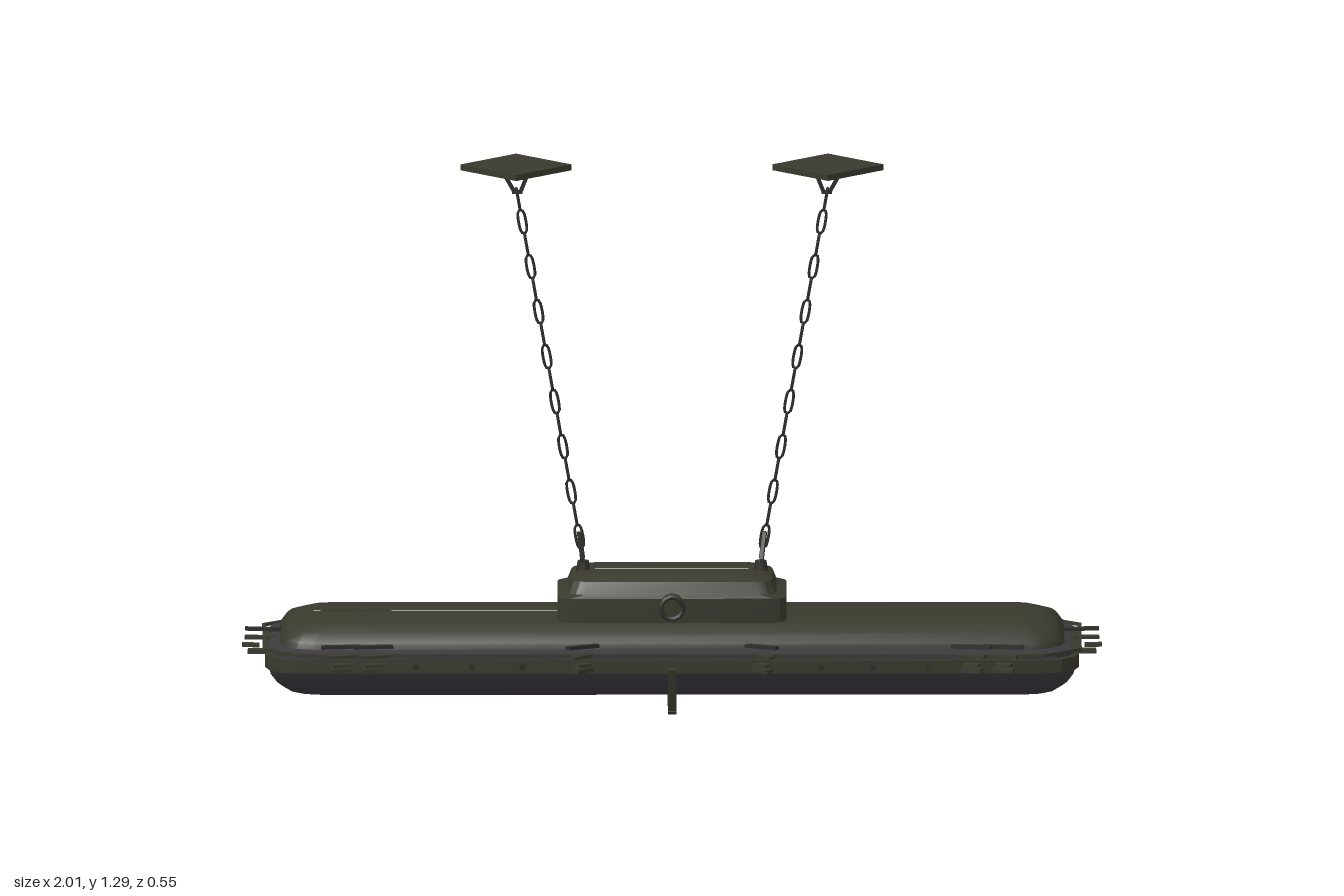
import * as THREE from 'three';
import { toCreasedNormals } from 'three/addons/utils/BufferGeometryUtils.js';

const paint = (name, color) => {
  const m = new THREE.MeshStandardMaterial({ color });
  m.name = name;
  return m;
};

export function createModel() {
  const model = new THREE.Group();
  model.name = 'hangingLamp';
  const olive = paint('olive housing', 0x3a392e);
  const lensGrey = paint('smoky lens', 0x3c393f);
  const steel = paint('dark steel', 0x2e2f2b);

  const add = (parent, name, geo, mat, x = 0, y = 0, z = 0) => {
    const mesh = new THREE.Mesh(geo, mat);
    mesh.name = name;
    mesh.position.set(x, y, z);
    parent.add(mesh);
    return mesh;
  };

  // Skin stacked rounded rectangles, each [half x, half z, corner radius, y], lowest first
  const loft = (rings, crease = 0.5, steps = 3) => {
    const pos = [], index = [], n = 4 * (steps + 1);
    for (const [hx, hz, r0, y] of rings) {
      const r = Math.min(r0, hz);
      for (let q = 0; q < 4; q++) for (let k = 0; k <= steps; k++) {
        const a = (q + k / steps) * Math.PI / 2;
        const sx = q === 0 || q === 3 ? 1 : -1, sz = q < 2 ? 1 : -1;
        pos.push(sx * (hx - r) + r * Math.cos(a), y, sz * (hz - r) + r * Math.sin(a));
      }
    }
    for (let i = 0; i < rings.length - 1; i++) for (let j = 0; j < n; j++) {
      const a = i * n + j, b = i * n + (j + 1) % n;
      index.push(a, a + n, b, b, a + n, b + n);
    }
    const g = new THREE.BufferGeometry();
    g.setAttribute('position', new THREE.Float32BufferAttribute(pos, 3));
    g.setIndex(index);
    return toCreasedNormals(g, crease);
  };

  // Rectangular bar between two points
  const bar = (parent, name, a, b, w, t, mat) => {
    const p = new THREE.Vector3(...a), q = new THREE.Vector3(...b);
    const mesh = add(parent, name, new THREE.BoxGeometry(w, t, p.distanceTo(q) + t * 0.6), mat);
    mesh.position.copy(p).add(q).multiplyScalar(0.5);
    mesh.lookAt(q);
    return mesh;
  };

  // Lens bowl underneath
  add(model, 'lens', loft([
    [0.86, 0.001, 0.001, 0.038], [0.88, 0.08, 0.06, 0.041], [0.9, 0.13, 0.08, 0.048],
    [0.925, 0.175, 0.09, 0.07], [0.94, 0.2, 0.09, 0.095], [0.945, 0.212, 0.09, 0.12],
  ], 0.7), lensGrey);

  // Rim frame, gasket and domed cover
  add(model, 'rim', loft([
    [0.925, 0.19, 0.07, 0.117], [0.953, 0.222, 0.08, 0.117], [0.953, 0.222, 0.08, 0.149],
    [0.925, 0.19, 0.07, 0.149],
  ]), olive);
  add(model, 'gasket', loft([
    [0.94, 0.212, 0.08, 0.145], [0.94, 0.212, 0.08, 0.16], [0.91, 0.18, 0.07, 0.168],
  ]), lensGrey);
  add(model, 'cover', loft([
    [0.92, 0.188, 0.08, 0.158], [0.915, 0.185, 0.08, 0.18], [0.9, 0.165, 0.08, 0.204],
    [0.865, 0.12, 0.07, 0.22], [0.84, 0.001, 0.001, 0.224],
  ], 0.6), olive);

  // Thin wire lip around the cover
  const lip = [[0.87, 0.225], [0.955, 0.15], [0.955, -0.15], [0.87, -0.225],
    [-0.87, -0.225], [-0.955, -0.15], [-0.955, 0.15], [-0.87, 0.225]];
  lip.forEach(([x, z], i) => {
    const [u, v] = lip[(i + 1) % 8];
    bar(model, 'lip', [x, 0.16, z], [u, 0.16, v], 0.008, 0.007, olive);
  });

  // Junction box with cable glands
  add(model, 'junctionBox', loft([
    [0.268, 0.125, 0.03, 0.212], [0.268, 0.125, 0.03, 0.276], [0.245, 0.118, 0.04, 0.284],
    [0.235, 0.105, 0.04, 0.312], [0.215, 0.085, 0.04, 0.322], [0.18, 0.001, 0.001, 0.323],
  ], 0.4), olive);
  for (const s of [1, -1]) {
    const gland = add(model, 'cableGland', toCreasedNormals(new THREE.CylinderGeometry(0.03, 0.03, 0.03, 12), 0.6),
      olive, 0, 0.258, s * 0.13);
    gland.rotation.x = Math.PI / 2;
    add(model, 'glandRing', new THREE.TorusGeometry(0.026, 0.006, 6, 14), steel, 0, 0.258, s * 0.146);
  }

  // Spring clips, along z and pointing outwards
  const clip = (x, z, turn, reach) => {
    const g = new THREE.Group();
    g.name = 'clip';
    g.position.set(x, 0, z);
    g.rotation.y = turn;
    bar(g, 'clipArm', [0, 0.196, -0.045], [0, 0.163, reach], 0.014, 0.008, steel);
    bar(g, 'clipTongue', [0, 0.16, -0.02], [0, 0.16, reach + 0.004], 0.022, 0.007, olive);
    bar(g, 'clipHook', [0, 0.16, reach - 0.008], [0, 0.124, reach - 0.008], 0.02, 0.008, olive);
    bar(g, 'clipFoot', [0, 0.127, -0.01], [0, 0.127, reach - 0.004], 0.022, 0.01, olive);
    model.add(g);
  };
  for (const s of [1, -1]) {
    for (const x of [-0.775, -0.7, -0.21, 0.21, 0.7, 0.775]) clip(x, s * 0.222, s > 0 ? 0 : Math.PI, 0.038);
    clip(s * 0.95, 0, s * Math.PI / 2, 0.044);
    // Small studs along the rim
    for (const x of [-0.6, -0.47, -0.35, 0.35, 0.47, 0.6]) {
      add(model, 'stud', new THREE.BoxGeometry(0.014, 0.014, 0.012), steel, x, 0.133, s * 0.225);
    }
  }

  // Guard strap below the lens
  const strap = [[0.228, 0.125], [0.218, 0.085], [0.2, 0.026], [0.185, 0.018], [0, 0.006],
    [-0.185, 0.018], [-0.2, 0.026], [-0.218, 0.085], [-0.228, 0.125]];
  for (let i = 1; i < strap.length; i++) {
    const [z0, y0] = strap[i - 1], [z1, y1] = strap[i];
    bar(model, 'guardStrap', [0, y0, z0], [0, y1, z1], 0.02, 0.011, olive);
  }

  // Chains, hooks and ceiling plates
  const oval = new THREE.CatmullRomCurve3([[0.5, 0.7], [0.28, 1], [-0.28, 1], [-0.5, 0.7],
    [-0.5, -0.7], [-0.28, -1], [0.28, -1], [0.5, -0.7]]
    .map(([x, y]) => new THREE.Vector3(x * 0.015, y * 0.027, 0)), true);
  const linkGeo = new THREE.TubeGeometry(oval, 16, 0.0033, 4, true);
  for (const s of [1, -1]) {
    const side = new THREE.Group();
    side.name = s > 0 ? 'leftHanger' : 'rightHanger';
    model.add(side);
    const low = new THREE.Vector3(s * 0.217, 0.4, 0), high = new THREE.Vector3(s * 0.36, 1.205, 0);
    const lean = Math.atan2(low.x - high.x, high.y - low.y);
    for (let i = 0; i < 16; i++) {
      const link = add(side, 'chainLink', linkGeo, steel);
      link.position.lerpVectors(low, high, i / 15);
      link.rotation.set(0, i % 2 ? Math.PI / 2 : 0, lean, 'ZYX');
    }
    // Hook on the junction box
    add(side, 'boxBolt', new THREE.CylinderGeometry(0.013, 0.018, 0.03, 8), steel, s * 0.208, 0.328, 0);
    for (const d of [1, -1]) {
      bar(side, 'shackle', [s * 0.209, 0.345, d * 0.024], [s * 0.217, 0.408, d * 0.003], 0.009, 0.007, steel);
    }
    bar(side, 'shacklePin', [s * 0.209, 0.347, -0.026], [s * 0.209, 0.347, 0.026], 0.009, 0.009, steel);
    // Diamond ceiling plate with a smaller plate and eye below it
    const plate = add(side, 'ceilingPlate', new THREE.BoxGeometry(0.184, 0.014, 0.184), olive, s * 0.365, 1.281, 0);
    plate.rotation.y = Math.PI / 4;
    const mount = add(side, 'mountPlate', new THREE.BoxGeometry(0.094, 0.012, 0.094), steel, s * 0.365, 1.269, 0);
    mount.rotation.y = Math.PI / 4;
    for (const d of [1, -1]) {
      bar(side, 'eyeArm', [s * 0.365 + d * 0.026, 1.262, 0], [s * 0.362 + d * 0.008, 1.224, 0], 0.007, 0.009, steel);
    }
    bar(side, 'eyeBase', [s * 0.362 - 0.01, 1.222, 0], [s * 0.362 + 0.01, 1.222, 0], 0.008, 0.008, steel);
  }
  return model;
}
